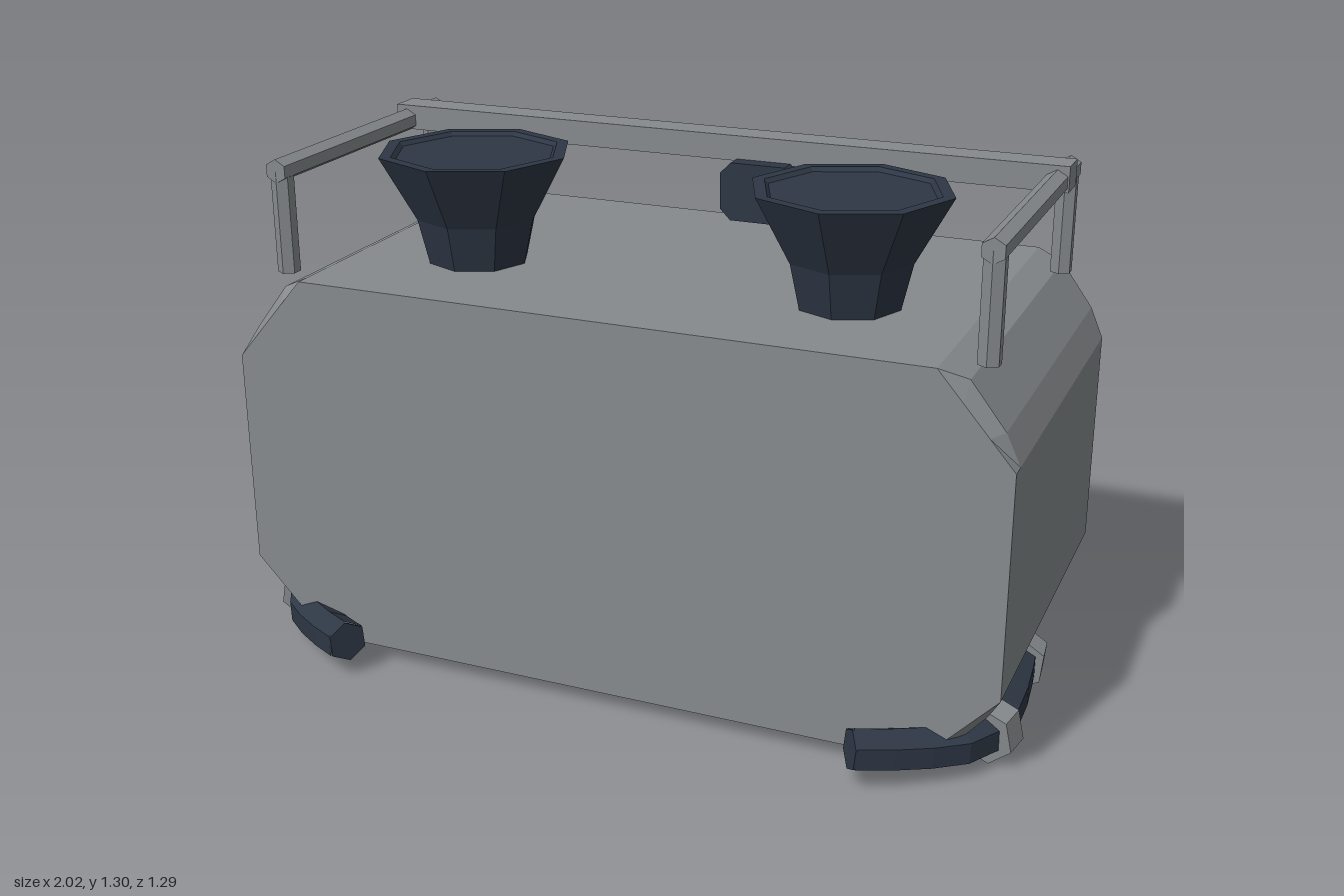
import * as THREE from 'three';

const mat = (name, color) => Object.assign(new THREE.MeshStandardMaterial({ color }), { name });

// Unshared vertices give every facet its own crisp normal
function flat(geometry) {
  const g = geometry.index ? geometry.toNonIndexed() : geometry;
  g.computeVertexNormals();
  return g;
}

// Body cross-section: a rectangle whose corners are rounded or cut straight
const BX = 0.8, LOW = 0.235, HIGH = 0.79;
function bodyRing(hx, bottom, top, zs, cut) {
  const steps = cut
    ? [[0, 1], [0.33, 0.67], [0.67, 0.33], [1, 0]]
    : [[0, 1], [0.35, 0.86], [0.81, 0.35], [1, 0]];
  const at = (u, v, base, edge, zEdge) => new THREE.Vector3(
    BX + (hx - BX) * u, base + (edge - base) * v, zs[1] + (zEdge - zs[1]) * v);
  const right = [
    ...steps.map(([u, v]) => at(u, v, LOW, bottom, zs[0])),
    ...steps.slice().reverse().map(([u, v]) => at(u, v, HIGH, top, zs[2])),
  ];
  const left = right.slice().reverse().map(p => new THREE.Vector3(-p.x, p.y, p.z));
  return [...right, ...left];
}

// Skin through the rings, front to back, with a closed front
function loft(rings) {
  const pos = [];
  const tri = (a, b, c) => {
    if (new THREE.Triangle(a, b, c).getArea() > 1e-7) pos.push(...a, ...b, ...c);
  };
  const n = rings[0].length, centre = new THREE.Vector3(0, 0.52, rings[0][0].z);
  for (let j = 0; j < n; j++) {
    const k = (j + 1) % n;
    tri(centre, rings[0][j], rings[0][k]);
    for (let i = 0; i < rings.length - 1; i++) {
      const p = rings[i], q = rings[i + 1];
      tri(p[j], q[j], p[k]);
      tri(p[k], q[j], q[k]);
    }
  }
  const g = new THREE.BufferGeometry();
  g.setAttribute('position', new THREE.Float32BufferAttribute(pos, 3));
  g.computeVertexNormals();
  return g;
}

// Grille opening outline with cut top corners
function openingPoints(grow = 0) {
  const x = 0.65 + grow, b = 0.26 - grow, t = 0.735 + grow, c = 0.05;
  return [[-x, b], [x, b], [x, t - c], [x - c, t], [c - x, t], [-x, t - c]]
    .map(p => new THREE.Vector2(...p));
}

export function createModel() {
  const model = new THREE.Group();
  model.name = 'backpackUnit';
  const grey = mat('grey metal', 0x868a8d);
  const navy = mat('dark navy', 0x2e3745);
  const amber = mat('amber', 0xcc9139);

  const add = (name, geometry, material, x = 0, y = 0, z = 0, parent = model) => {
    const mesh = new THREE.Mesh(flat(geometry), material);
    mesh.name = name;
    mesh.position.set(x, y, z);
    parent.add(mesh);
    return mesh;
  };
  const box = (name, material, x0, x1, y0, y1, z0, z1) =>
    add(name, new THREE.BoxGeometry(x1 - x0, y1 - y0, z1 - z0), material,
      (x0 + x1) / 2, (y0 + y1) / 2, (z0 + z1) / 2);

  // Casing
  add('casing', loft([
    bodyRing(0.985, 0.04, 1.005, [0.505, 0.505, 0.505], true),
    bodyRing(0.985, 0.04, 1.005, [0.465, 0.465, 0.465]),
    bodyRing(0.985, 0.04, 1.005, [-0.43, -0.46, -0.485]),
    bodyRing(0.93, 0.172, 0.886, [-0.565, -0.555, -0.565]),
    bodyRing(BX, LOW, HIGH, [-0.63, -0.63, -0.63]),
  ]), grey);

  // Back panel with the grille opening
  const panel = new THREE.Shape(
    [[-BX, LOW], [BX, LOW], [BX, HIGH], [-BX, HIGH]].map(p => new THREE.Vector2(...p)));
  panel.holes.push(new THREE.Path(openingPoints()));
  add('backPanel', new THREE.ShapeGeometry(panel), grey, 0, 0, -0.63).rotation.y = Math.PI;

  // Grille recess and louvres
  const lining = new THREE.Shape(openingPoints(0.02));
  lining.holes.push(new THREE.Path(openingPoints()));
  add('grilleLining', new THREE.ExtrudeGeometry(lining, { depth: 0.12, bevelEnabled: false }),
    navy, 0, 0, -0.627);
  box('grilleBack', navy, -0.66, 0.66, 0.25, 0.745, -0.515, -0.495);
  for (let i = 0; i < 8; i++) {
    add('louvre', new THREE.BoxGeometry(1.3, 0.056, 0.016), navy, 0, 0.292 + i * 0.058, -0.54)
      .rotation.x = 0.3;
  }

  // Back handle, amber strip and lamp columns
  box('backHandle', grey, -0.42, 0.42, 0.145, 0.2, -0.575, -0.5);
  box('amberStrip', amber, -0.595, 0.585, 0.79, 0.84, -0.645, -0.628);
  for (const s of [1, -1]) {
    for (let i = 0; i < 4; i++) {
      const lamp = add('lamp', new THREE.BoxGeometry(0.105, 0.072, 0.016), i % 2 ? navy : amber,
        s * 0.78, 0.223 + i * 0.147, -0.633);
      lamp.scale.z = 0.95;
    }
  }

  // Twin funnels on top
  const funnel = [[0.125, 0.99], [0.155, 1.12], [0.245, 1.285], [0.215, 1.285], [0.205, 1.275], [0, 1.275]]
    .map(p => new THREE.Vector2(...p));
  for (const s of [1, -1]) add('funnel', new THREE.LatheGeometry(funnel, 8), navy, s * 0.49, 0, 0.155);

  // Roof rack: side rails, posts and a cross bar
  for (const s of [1, -1]) {
    add('sideRail', new THREE.CylinderGeometry(0.03, 0.03, 0.79, 6), grey, s * 0.89, 1.255, 0.04)
      .rotation.x = Math.PI / 2;
    for (const z of [0.408, -0.33]) {
      add('post', new THREE.CylinderGeometry(0.028, 0.028, 0.26, 6), grey, s * 0.89, 1.125, z);
    }
  }
  box('crossBar', grey, -0.92, 0.92, 1.23, 1.295, -0.28, -0.195);

  // Bevelled block hung below the cross bar
  const w = 0.1, h = 0.075, c = 0.028;
  const block = new THREE.Shape([[-w, c - h], [c - w, -h], [w - c, -h], [w, c - h],
    [w, h - c], [w - c, h], [c - w, h], [-w, h - c]].map(p => new THREE.Vector2(...p)));
  add('hangingBlock', new THREE.ExtrudeGeometry(block, { depth: 0.17, bevelEnabled: false }),
    navy, 0.145, 1.16, -0.32);

  // Curved hoses wrapping the lower front corners, with collars
  for (const s of [1, -1]) {
    const hose = new THREE.Group();
    hose.name = s > 0 ? 'leftHose' : 'rightHose';
    model.add(hose);
    const path = new THREE.CatmullRomCurve3([
      [0.92, 0.09, 0.02], [0.94, 0.083, 0.22], [0.92, 0.072, 0.4],
      [0.81, 0.078, 0.51], [0.67, 0.093, 0.6],
    ].map(([x, y, z]) => new THREE.Vector3(s * x, y, z)));
    add('tube', new THREE.TubeGeometry(path, 8, 0.054, 6), navy, 0, 0, 0, hose);
    const along = (mesh, t, axis) =>
      mesh.quaternion.setFromUnitVectors(axis, path.getTangentAt(t));
    const end = path.getPointAt(1);
    along(add('tubeEnd', new THREE.CylinderGeometry(0.052, 0.052, 0.008, 6), navy,
      end.x, end.y, end.z, hose), 1, new THREE.Vector3(0, 1, 0));
    for (const t of [0, 0.48]) {
      const p = path.getPointAt(t);
      along(add('collar', new THREE.CylinderGeometry(0.075, 0.075, 0.07, 6), grey,
        p.x, Math.max(p.y, 0.075), p.z, hose), t, new THREE.Vector3(0, 1, 0));
    }
  }
  return model;
}
